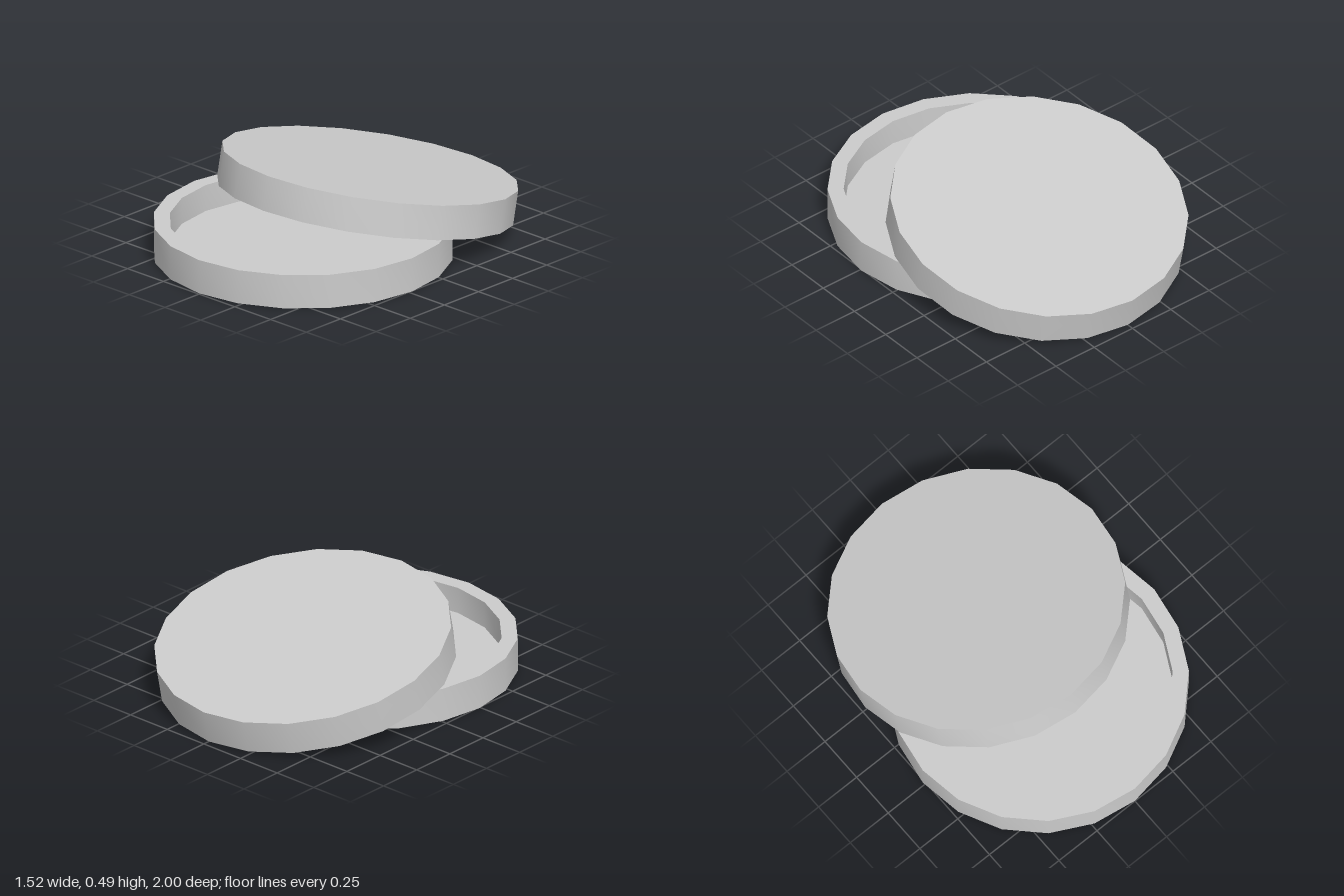
import * as THREE from 'three';
import { toCreasedNormals } from 'three/addons/utils/BufferGeometryUtils.js';

const OUTER = 0.762, INNER = 0.68, HEIGHT = 0.181, FLOOR = 0.04, SIDES = 20;
const TILT = THREE.MathUtils.degToRad(12);

// Shallow round tray with a thick wall, open upwards, centred on its own middle
function trayGeometry() {
  const profile = [
    [0, 0], [OUTER, 0], [OUTER, HEIGHT], [INNER, HEIGHT], [INNER, FLOOR], [0, FLOOR],
  ].map(([x, y]) => new THREE.Vector2(x, y - HEIGHT / 2));
  return toCreasedNormals(new THREE.LatheGeometry(profile, SIDES), 0.6);
}

export function createModel() {
  const model = new THREE.Group();
  model.name = 'roundDishWithLid';
  const material = new THREE.MeshStandardMaterial({ color: 0xcccccc });
  const geometry = trayGeometry();

  // Dish lying flat
  const dish = new THREE.Mesh(geometry, material);
  dish.name = 'dish';
  dish.position.set(0, 0.005 + HEIGHT / 2, 0.238);
  model.add(dish);

  // Lid: the same tray upside down, leaning back across the dish rim
  const lid = new THREE.Mesh(geometry, material);
  lid.name = 'lid';
  lid.rotation.x = Math.PI - TILT;
  lid.position.set(0, 0.248, -0.236);
  model.add(lid);

  return model;
}
